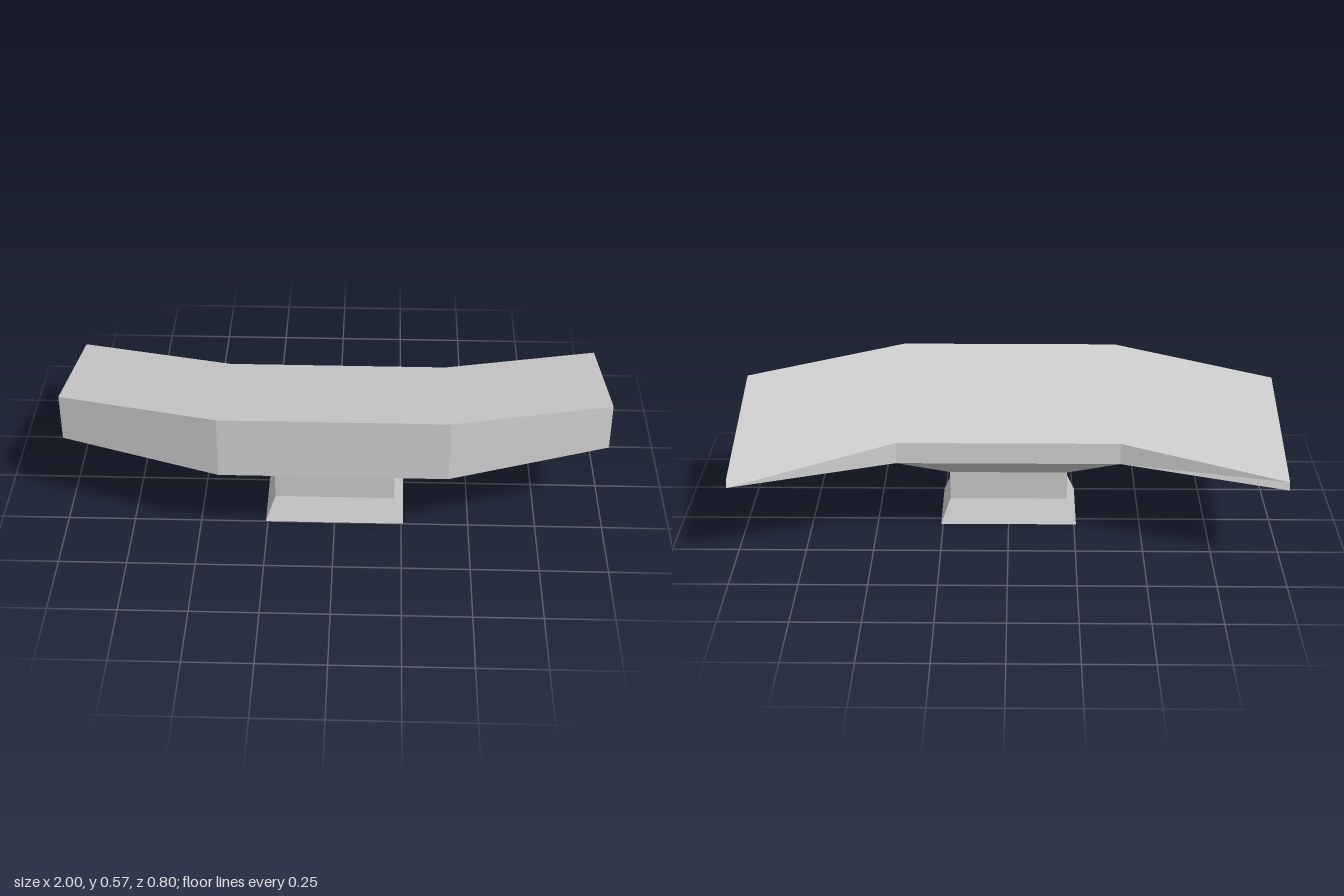
import * as THREE from 'three';

// Flat-shaded loft through four-cornered sections, with optional end caps
function loft(sections, capStart, capEnd) {
  const index = [];
  const last = (sections.length - 1) * 4;
  for (let s = 0; s < last; s += 4) {
    for (let i = 0; i < 4; i++) {
      const j = (i + 1) % 4;
      index.push(s + i, s + 4 + i, s + 4 + j, s + i, s + 4 + j, s + j);
    }
  }
  if (capStart) index.push(0, 1, 2, 0, 2, 3);
  if (capEnd) index.push(last, last + 2, last + 1, last, last + 3, last + 2);
  const geometry = new THREE.BufferGeometry();
  geometry.setAttribute('position', new THREE.Float32BufferAttribute(sections.flat(2), 3));
  geometry.setIndex(index);
  const flat = geometry.toNonIndexed();
  flat.computeVertexNormals();
  return flat;
}

// Rectangular ring at height y
const ring = ([y, halfWidth, back, front]) => [
  [-halfWidth, y, back], [halfWidth, y, back], [halfWidth, y, front], [-halfWidth, y, front],
];

// Upright slice of the desk at x; the wings are swept back by "sweep"
const slope = (z) => 0.464 + 0.268 * z;
const UNDERSIDE = 0.335;
function slice(x, sweep) {
  const frontTop = 0.385 - sweep;
  const backTop = -0.188 - sweep;
  return [
    [x, UNDERSIDE, 0.398 - sweep * 1.03],
    [x, slope(frontTop), frontTop],
    [x, slope(backTop), backTop],
    [x, UNDERSIDE, -0.195 - sweep * 1.03],
  ];
}

export function createModel() {
  const group = new THREE.Group();
  const grey = new THREE.MeshStandardMaterial({ color: 0xcccccc });
  grey.name = 'light grey';
  grey.flatShading = true;

  const add = (name, geometry) => {
    const mesh = new THREE.Mesh(geometry, grey);
    mesh.name = name;
    group.add(mesh);
  };

  // Sloping desk top with two swept-back wings
  add('deskTop', loft([slice(-1, 0.197), slice(-0.41, 0), slice(0.41, 0), slice(1, 0.197)], true, true));

  // Pedestal: height, half width, back z, front z of each level
  const levels = [
    [0, 0.258, -0.045, 0.25],
    [0.093, 0.222, -0.008, 0.213],
    [0.204, 0.222, -0.008, 0.213],
    [UNDERSIDE, 0.41, -0.195, 0.398],
  ].map(ring);
  ['foot', 'neck', 'flaredSupport'].forEach((name, i) => {
    add(name, loft(levels.slice(i, i + 2), i === 0, false));
  });

  return group;
}
